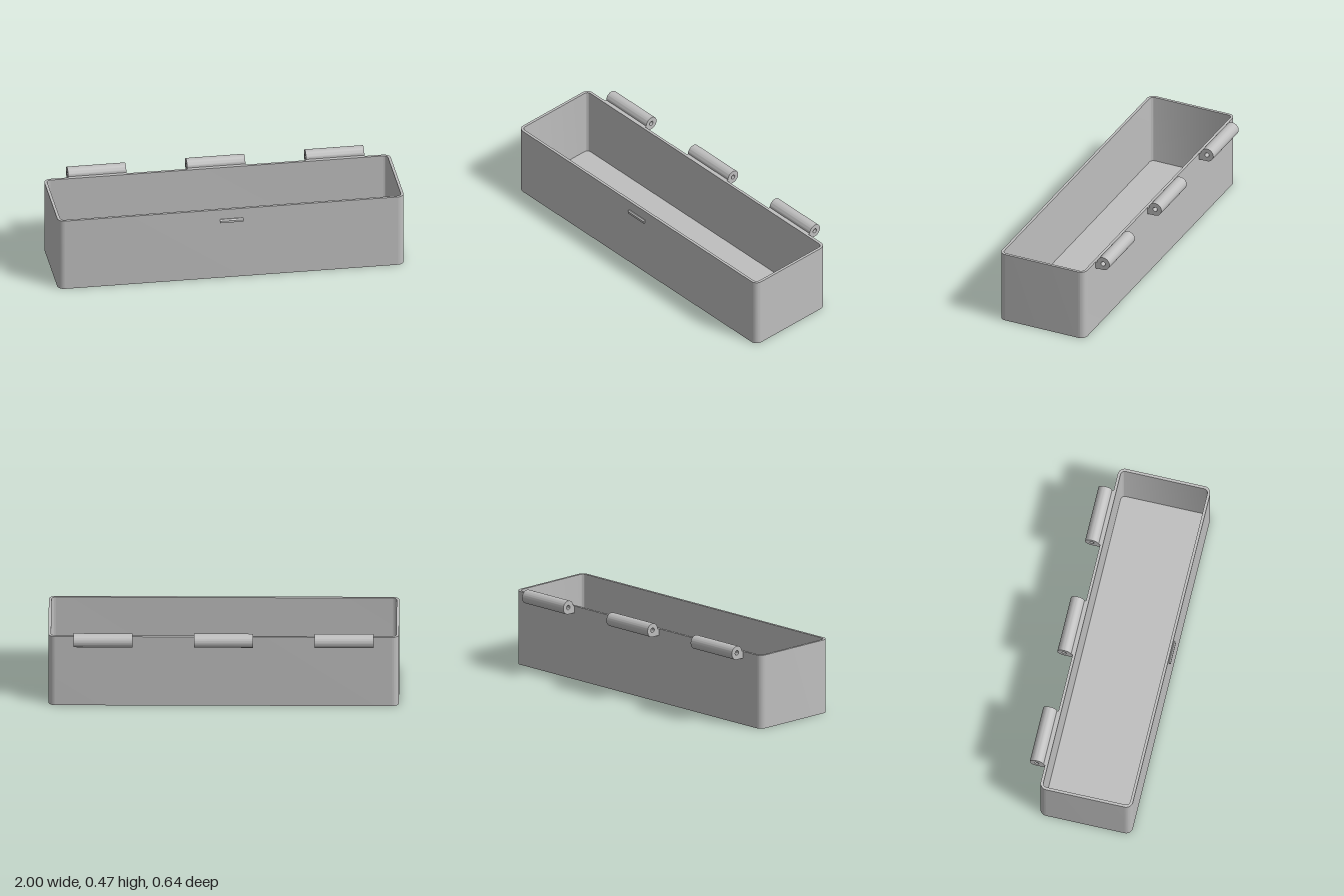
import * as THREE from 'three';
import { toCreasedNormals } from 'three/addons/utils/BufferGeometryUtils.js';

const HEIGHT = 0.433, WALL = 0.016, FLOOR = 0.016, CENTER_Z = 0.04;

// Rounded rectangle outline centred on the origin
function roundedRect(target, w, d, r) {
  const x = w / 2, y = d / 2;
  target.moveTo(-x + r, -y);
  target.lineTo(x - r, -y);
  target.absarc(x - r, -y + r, r, -Math.PI / 2, 0, false);
  target.lineTo(x, y - r);
  target.absarc(x - r, y - r, r, 0, Math.PI / 2, false);
  target.lineTo(-x + r, y);
  target.absarc(-x + r, y - r, r, Math.PI / 2, Math.PI, false);
  target.lineTo(-x, -y + r);
  target.absarc(-x + r, -y + r, r, Math.PI, Math.PI * 1.5, false);
  return target;
}

function extrude(shape, depth) {
  return new THREE.ExtrudeGeometry(shape, { depth, bevelEnabled: false, curveSegments: 16 });
}

// Extrude a (z, y) profile along x, centred on x = 0
function alongX(shape, width) {
  const g = extrude(shape, width);
  g.translate(0, 0, -width / 2);
  g.rotateY(-Math.PI / 2);
  return toCreasedNormals(g, 0.6);
}

export function createModel() {
  const group = new THREE.Group();
  const grey = new THREE.MeshStandardMaterial({ color: 0xbfbfbf });
  grey.name = 'grey plastic';

  const add = (name, geometry, x = 0, y = 0, z = 0) => {
    const mesh = new THREE.Mesh(geometry, grey);
    mesh.name = name;
    mesh.position.set(x, y, z);
    group.add(mesh);
  };

  // Open tray: a wall ring around a floor plate
  const ring = roundedRect(new THREE.Shape(), 2, 0.54, 0.04);
  ring.holes.push(roundedRect(new THREE.Path(), 2 - 2 * WALL, 0.54 - 2 * WALL, 0.04 - WALL));
  const walls = extrude(ring, HEIGHT).rotateX(-Math.PI / 2);
  add('walls', toCreasedNormals(walls, 0.6), 0, 0, CENTER_Z);
  const plate = roundedRect(new THREE.Shape(), 2 - 2 * WALL, 0.54 - 2 * WALL, 0.04 - WALL);
  add('floor', extrude(plate, FLOOR).rotateX(-Math.PI / 2), 0, 0, CENTER_Z);

  // Hinge knuckles: round barrel with a pin hole and a block joining the back wall
  const R = 0.04, cz = -0.279;
  const knuckle = new THREE.Shape();
  knuckle.moveTo(-0.23, HEIGHT);
  knuckle.lineTo(cz + R, HEIGHT);
  knuckle.absarc(cz, HEIGHT, R, 0, Math.PI * 1.5, false);
  knuckle.lineTo(-0.23, HEIGHT - R);
  knuckle.closePath();
  knuckle.holes.push(new THREE.Path().absarc(cz, HEIGHT, 0.0135, 0, Math.PI * 2, true));
  for (const x of [-0.687, 0, 0.687]) add('hingeKnuckle', alongX(knuckle, 0.336), x);

  // Catch on the front wall, chamfered on top
  const lip = new THREE.Shape();
  lip.moveTo(0.308, 0.353);
  lip.lineTo(0.321, 0.353);
  lip.lineTo(0.321, 0.365);
  lip.lineTo(0.314, 0.373);
  lip.lineTo(0.308, 0.373);
  lip.closePath();
  add('frontCatch', alongX(lip, 0.134));

  return group;
}
